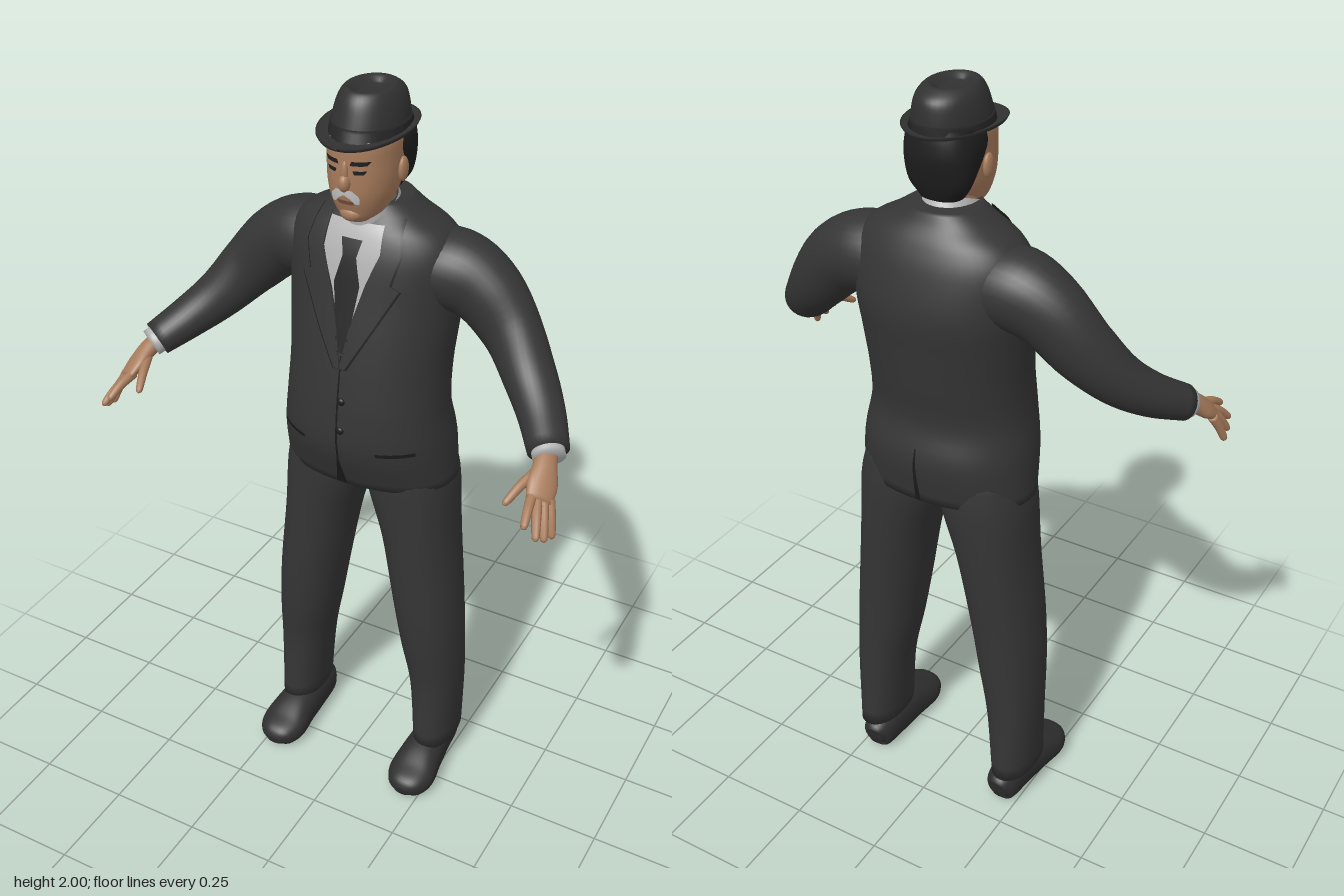
import * as THREE from 'three';

const mat = (name, color, side = THREE.FrontSide) => {
  const m = new THREE.MeshStandardMaterial({ color, side });
  m.name = name;
  return m;
};
const D = THREE.DoubleSide;
const suit = mat('suit', 0x353535, D), seam = mat('seam', 0x1b1b1b, D), hatFelt = mat('hatFelt', 0x313131, D);
const shoe = mat('shoe', 0x2f2f2f), skin = mat('skin', 0xa87c5c), hair = mat('hair', 0x1e1e1e, D);
const shirt = mat('shirt', 0xb2b2b2, D), tie = mat('tie', 0x262626, D), grey = mat('greyHair', 0xc4c4c4, D);
const lips = mat('lips', 0x7a5040, D);

const Y = new THREE.Vector3(0, 1, 0), BACK = new THREE.Vector3(0, 0, -1);

// Smooth samples along rows of [x, y, z, half width, half depth]
function sample(rows, steps) {
  const spline = (f) => new THREE.CatmullRomCurve3(rows.map(f), false, 'catmullrom', 0.5);
  const pos = spline((r) => new THREE.Vector3(r[0], r[1], r[2]));
  const rad = spline((r) => new THREE.Vector3(r[3], r[4], 0));
  return Array.from({ length: steps + 1 }, (_, i) => {
    const t = i / steps, r = rad.getPoint(t);
    return { c: pos.getPoint(t), t: pos.getTangent(t), a: r.x, b: r.y };
  });
}

// Closed skin over superellipse sections; level sections unless a reference up vector is given
function loft(name, material, rows, { n = 2, up = null, segs = 32, steps = (rows.length - 1) * 5, floor = -9 } = {}) {
  const rings = sample(rows, steps), p = [], idx = [];
  const pw = (v) => Math.sign(v) * Math.abs(v) ** (2 / n);
  for (const { c, t, a, b } of rings) {
    const T = up ? t : Y, ref = up || BACK;
    const V = ref.clone().addScaledVector(T, -ref.dot(T)).normalize();
    const U = V.clone().cross(T);
    for (let j = 0; j < segs; j++) {
      const q = (j / segs) * Math.PI * 2;
      const v = c.clone().addScaledVector(U, a * pw(Math.cos(q))).addScaledVector(V, b * pw(Math.sin(q)));
      p.push(v.x, Math.max(v.y, floor), v.z);
    }
  }
  for (let i = 0; i < steps; i++) for (let j = 0; j < segs; j++) {
    const k = (j + 1) % segs, A = i * segs, B = A + segs;
    idx.push(A + j, A + k, B + j, A + k, B + k, B + j);
  }
  const end = steps * segs, c0 = p.length / 3;
  for (const r of [rings[0], rings[steps]]) p.push(r.c.x, r.c.y, r.c.z);
  for (let j = 0; j < segs; j++) {
    const k = (j + 1) % segs;
    idx.push(c0, k, j, c0 + 1, end + j, end + k);
  }
  return mesh(name, material, buffer(p, idx));
}

function buffer(p, idx) {
  const g = new THREE.BufferGeometry();
  g.setAttribute('position', new THREE.Float32BufferAttribute(p, 3));
  g.setIndex(idx);
  g.computeVertexNormals();
  return g;
}

function mesh(name, material, geometry, pos = [0, 0, 0], scale = [1, 1, 1]) {
  const m = new THREE.Mesh(geometry, material);
  m.name = name;
  m.position.set(...pos);
  m.scale.set(...scale);
  return m;
}

// Depth of a lofted body at (x, y), on its front (dir 1) or back (dir -1)
function surface(rows, n = 2) {
  const s = sample(rows, (rows.length - 1) * 5);
  return (x, y, dir) => {
    let i = 0;
    while (i < s.length - 2 && s[i + 1].c.y < y) i++;
    const f = THREE.MathUtils.clamp((y - s[i].c.y) / (s[i + 1].c.y - s[i].c.y), 0, 1);
    const mix = (g) => g(s[i]) + (g(s[i + 1]) - g(s[i])) * f;
    const e = Math.min(1, Math.abs(x) / mix((r) => r.a));
    return mix((r) => r.c.z) + dir * mix((r) => r.b) * (1 - e ** n) ** (1 / n);
  };
}

// Thin patch laid on a surface; rows of [y, x0, x1]
function drape(name, material, surf, rows, lift, s = 1, dir = 1) {
  const p = [], idx = [], nx = 8, ny = 5, total = (rows.length - 1) * ny;
  for (let i = 0; i <= total; i++) {
    const k = Math.min(Math.floor(i / ny), rows.length - 2), f = i / ny - k;
    const [y, x0, x1] = rows[k].map((v, m) => v + (rows[k + 1][m] - v) * f);
    for (let j = 0; j <= nx; j++) {
      const x = s * (x0 + ((x1 - x0) * j) / nx);
      p.push(x, y, surf(x, y, dir) + dir * lift);
    }
  }
  for (let i = 0; i < total; i++) for (let j = 0; j < nx; j++) {
    const a = i * (nx + 1) + j, b = a + nx + 1;
    if (s * dir > 0) idx.push(a, a + 1, b, a + 1, b + 1, b);
    else idx.push(a, b, a + 1, a + 1, b, b + 1);
  }
  return mesh(name, material, buffer(p, idx));
}

export function createModel() {
  const g = new THREE.Group();
  g.name = 'suitedMan';
  const ball = new THREE.SphereGeometry(1, 20, 14);

  // Jacket body
  const body = [[0, 0.985, -0.092, 0.235, 0.15], [0, 1.1, -0.08, 0.226, 0.178], [0, 1.2, -0.068, 0.212, 0.167],
    [0, 1.3, -0.08, 0.208, 0.167], [0, 1.4, -0.095, 0.214, 0.165], [0, 1.5, -0.11, 0.222, 0.16],
    [0, 1.6, -0.11, 0.225, 0.14], [0, 1.66, -0.108, 0.195, 0.118], [0, 1.7, -0.105, 0.13, 0.095], [0, 1.73, -0.105, 0.085, 0.08]];
  const chest = surface(body, 2.2);
  g.add(loft('jacket', suit, body, { n: 2.2, segs: 48 }));
  g.add(drape('shirtFront', shirt, chest, [[1.4, -0.005, 0.005], [1.53, -0.04, 0.04], [1.62, -0.075, 0.075], [1.69, -0.07, 0.07]], 0.004));
  g.add(drape('tie', tie, chest, [[1.38, -0.012, 0.012], [1.55, -0.034, 0.034], [1.615, -0.018, 0.018], [1.655, -0.027, 0.027]], 0.009));
  g.add(drape('frontOpening', seam, chest, [[0.99, -0.022, 0.008], [1.08, -0.004, 0.002], [1.37, -0.002, 0.002]], 0.003));
  g.add(drape('backVent', seam, chest, [[0.99, -0.008, 0.006], [1.14, -0.002, 0.002]], 0.003, 1, -1));
  for (const y of [1.17, 1.25]) g.add(mesh('button', seam, ball, [0.008, y, chest(0, y, 1)], [0.01, 0.01, 0.006]));

  // Neck and shirt collar
  g.add(loft('neck', skin, [[0, 1.62, -0.08, 0.062, 0.065], [0, 1.7, -0.07, 0.06, 0.065], [0, 1.79, -0.065, 0.06, 0.07]]));
  const collar = mesh('shirtCollar', shirt, new THREE.CylinderGeometry(0.067, 0.078, 0.055, 32, 1, true), [0, 1.705, -0.073], [1, 1, 1.12]);
  collar.rotation.x = 0.35;
  g.add(collar);

  // Head
  const skull = [[0, 1.7, -0.005, 0.03, 0.03], [0, 1.72, -0.03, 0.056, 0.066], [0, 1.76, -0.04, 0.074, 0.09],
    [0, 1.8, -0.047, 0.082, 0.102], [0, 1.85, -0.055, 0.085, 0.11], [0, 1.9, -0.06, 0.084, 0.11], [0, 1.94, -0.065, 0.06, 0.08]];
  const face = surface(skull, 2.2);
  g.add(loft('head', skin, skull, { n: 2.2 }));
  g.add(loft('hair', hair, [[0, 1.745, -0.112, 0.052, 0.042], [0, 1.785, -0.122, 0.078, 0.048], [0, 1.84, -0.108, 0.089, 0.076],
    [0, 1.88, -0.095, 0.09, 0.088], [0, 1.92, -0.09, 0.08, 0.085]], { n: 2.4 }));
  g.add(mesh('nose', skin, ball, [0, 1.806, face(0, 1.806, 1)], [0.014, 0.022, 0.018]));
  g.add(mesh('noseBridge', skin, ball, [0, 1.828, face(0, 1.828, 1)], [0.009, 0.03, 0.009]));
  g.add(mesh('chin', skin, ball, [0, 1.722, 0.025], [0.028, 0.02, 0.02]));
  g.add(drape('mouth', lips, face, [[1.752, -0.018, 0.018], [1.762, -0.024, 0.024]], 0.003));

  // Hat: curled brim, creased crown and band
  const brimProfile = [[0.6, 0.004], [0.85, 0], [0.96, 0.004], [1, 0.012], [0.97, 0.012], [0.85, 0.007], [0.6, 0.01]].map((q) => new THREE.Vector2(...q));
  const brim = new THREE.LatheGeometry(brimProfile, 48).scale(0.109, 1, 0.152);
  const bp = brim.attributes.position;
  for (let i = 0; i < bp.count; i++) {
    const x = bp.getX(i) / 0.109, z = bp.getZ(i) / 0.152;
    bp.setY(i, bp.getY(i) + 0.008 * x * x - 0.006 * z);
  }
  brim.computeVertexNormals();
  g.add(mesh('hatBrim', hatFelt, brim, [0, 1.893, -0.058]));
  g.add(loft('hatCrown', hatFelt, [[0, 1.895, -0.066, 0.088, 0.116], [0, 1.94, -0.072, 0.083, 0.108], [0, 1.975, -0.075, 0.073, 0.098],
    [0, 1.994, -0.07, 0.06, 0.078], [0, 1.997, -0.068, 0.047, 0.063], [0, 1.983, -0.068, 0.022, 0.045]], { segs: 40 }));
  g.add(loft('hatBand', tie, [[0, 1.898, -0.066, 0.09, 0.119], [0, 1.925, -0.07, 0.087, 0.113]], { segs: 40 }));

  for (const s of [1, -1]) {
    const side = s > 0 ? 'left' : 'right';
    const mir = (rows) => rows.map(([x, ...r]) => [s * x, ...r]);
    const add = (name, material, rows, opt) => g.add(loft(side + name, material, mir(rows), opt));
    const lay = (name, material, surf, rows, lift) => g.add(drape(side + name, material, surf, rows, lift, s));

    // Facial details
    g.add(mesh(side + 'Ear', skin, ball, [s * 0.088, 1.815, -0.062], [0.01, 0.03, 0.019]));
    lay('Eyebrow', hair, face, [[1.85, 0.014, 0.05], [1.86, 0.018, 0.058]], 0.004);
    lay('Eye', hair, face, [[1.829, 0.024, 0.044], [1.838, 0.02, 0.05]], 0.003);
    lay('Moustache', grey, face, [[1.757, 0.026, 0.034], [1.77, 0.014, 0.036], [1.778, 0, 0.034], [1.791, 0, 0.02]], 0.007);

    // Lapels, shirt collar wings and pockets
    const lapel = [[1.34, 0, 0.015], [1.45, 0.018, 0.075], [1.55, 0.046, 0.128], [1.562, 0.05, 0.105], [1.63, 0.075, 0.122], [1.705, 0.07, 0.105]];
    lay('LapelEdge', seam, chest, lapel.map(([y, a, b]) => [y - 0.003, a, b + 0.004]), 0.006);
    lay('Lapel', suit, chest, lapel, 0.009);
    lay('CollarWing', shirt, chest, [[1.585, 0.044, 0.05], [1.64, 0.018, 0.07], [1.685, 0.012, 0.068]], 0.0085);
    lay('Pocket', seam, chest, [[1.112, 0.1, 0.185], [1.122, 0.1, 0.185]], 0.003);

    // Sleeve, cuff and hand
    add('Sleeve', suit, [[0.1, 1.56, -0.115, 0.1, 0.09], [0.2, 1.563, -0.12, 0.1, 0.1], [0.28, 1.53, -0.12, 0.085, 0.092],
      [0.36, 1.45, -0.105, 0.07, 0.08], [0.43, 1.37, -0.06, 0.065, 0.065], [0.49, 1.315, 0, 0.058, 0.054], [0.545, 1.27, 0.078, 0.05, 0.044]], { up: Y });
    add('Cuff', shirt, [[0.53, 1.282, 0.06, 0.04, 0.036], [0.554, 1.262, 0.093, 0.039, 0.035]], { up: Y });
    const palmUp = new THREE.Vector3(0.57 * s, 0.79, 0.28);
    add('Palm', skin, [[0.54, 1.272, 0.075, 0.026, 0.024], [0.553, 1.252, 0.115, 0.03, 0.022], [0.563, 1.228, 0.15, 0.038, 0.019],
      [0.571, 1.205, 0.186, 0.033, 0.013]], { up: palmUp, segs: 20 });
    const fingers = [['Thumb', 0.54, 1.245, 0.13, 0.503, 1.2, 0.23], ['Index', 0.552, 1.217, 0.18, 0.57, 1.18, 0.268],
      ['Middle', 0.565, 1.208, 0.182, 0.598, 1.15, 0.26], ['Ring', 0.578, 1.203, 0.176, 0.608, 1.132, 0.232], ['Little', 0.588, 1.2, 0.162, 0.614, 1.122, 0.198]];
    for (const [name, x, y, z, X, Yt, Z] of fingers) {
      const at = (f, r, lift = 0) => [x + (X - x) * f, y + (Yt - y) * f + lift, z + (Z - z) * f, r, r];
      add(name + 'Finger', skin, [at(0, 0.013), at(0.5, 0.0115, 0.005), at(0.9, 0.009), at(1, 0.003)], { up: palmUp, segs: 10 });
    }

    // Trouser leg and shoe
    add('TrouserLeg', suit, [[0.217, 0.1, -0.096, 0.056, 0.103], [0.209, 0.3, -0.098, 0.069, 0.097], [0.193, 0.45, -0.092, 0.082, 0.107],
      [0.175, 0.6, -0.09, 0.09, 0.115], [0.147, 0.8, -0.095, 0.098, 0.125], [0.118, 0.96, -0.097, 0.117, 0.133], [0.11, 1.05, -0.095, 0.105, 0.13]], { n: 2.2 });
    add('Shoe', shoe, [[0.205, 0.045, -0.19, 0.02, 0.03], [0.206, 0.05, -0.17, 0.043, 0.052], [0.207, 0.055, -0.09, 0.052, 0.063],
      [0.21, 0.052, -0.01, 0.06, 0.06], [0.212, 0.04, 0.06, 0.067, 0.044], [0.212, 0.033, 0.105, 0.05, 0.034], [0.212, 0.028, 0.125, 0.02, 0.014]],
      { up: Y, n: 2.3, floor: 0 });
  }
  return g;
}
